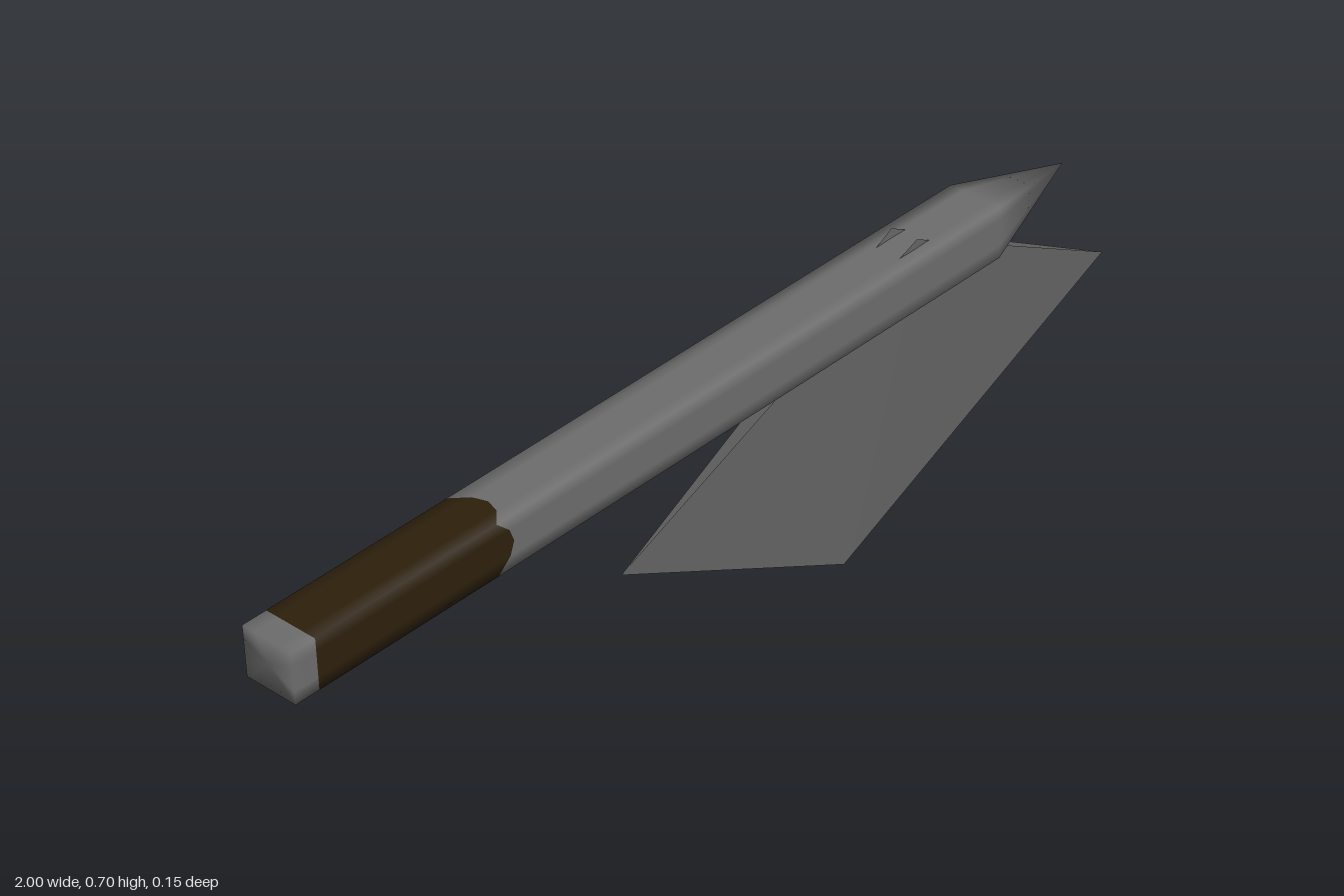
import * as THREE from 'three';

const steel = new THREE.MeshStandardMaterial({ name: 'steel grey', color: 0x6c6c6c, side: THREE.DoubleSide });
const leather = new THREE.MeshStandardMaterial({ name: 'dark brown grip', color: 0x2d200c });

function surface(points, index) {
  const geo = new THREE.BufferGeometry();
  geo.setAttribute('position', new THREE.Float32BufferAttribute(points.flat(), 3));
  geo.setIndex(index);
  geo.computeVertexNormals();
  return geo;
}

// Square shaft lofted through rings, with a wrapped grip and a pointed tip
function createShaft() {
  // Four steps along each side of the square, as [y, z] from -1 to 1
  const around = [];
  const corners = [[-1, 1], [1, 1], [1, -1], [-1, -1]];
  corners.forEach(([v, w], i) => {
    const [nv, nw] = corners[(i + 1) % 4];
    for (let s = 0; s < 4; s++) around.push([v + ((nv - v) * s) / 4, w + ((nw - w) * s) / 4]);
  });
  const n = around.length;

  // x, bulge at the middle of each side, bottom, top, back, front
  const rings = [
    [-1, 0, 0.58, 0.669, -0.03, 0.068],
    [-0.955, 0, 0.58, 0.669, -0.03, 0.068],
    [-0.602, 0.034, 0.58, 0.671, -0.03, 0.07],
    [0.565, 0, 0.583, 0.68, -0.03, 0.076],
  ];
  const points = [];
  for (const [x, bulge, y0, y1, z0, z1] of rings) {
    for (const [v, w] of around) {
      const along = Math.min(Math.abs(v), Math.abs(w)); // 0 mid-side, 1 at a corner
      points.push([
        x + bulge * (1 - along * along),
        (y0 + y1) / 2 + (v * (y1 - y0)) / 2,
        (z0 + z1) / 2 + (w * (z1 - z0)) / 2,
      ]);
    }
  }
  const butt = points.push([-1, 0.625, 0.019]) - 1;
  const tip = points.push([0.81, 0.634, 0.018]) - 1;

  const index = [];
  const marks = [];
  for (let j = 0; j < n; j++) index.push(butt, j, (j + 1) % n);
  for (let i = 0; i < rings.length - 1; i++) {
    marks.push(index.length);
    for (let j = 0; j < n; j++) {
      const a = i * n + j, b = i * n + ((j + 1) % n);
      index.push(a, a + n, b, a + n, b + n, b);
    }
  }
  const last = (rings.length - 1) * n;
  for (let j = 0; j < n; j++) index.push(last + j, tip, last + ((j + 1) % n));

  const geo = surface(points, index);
  geo.addGroup(0, marks[1], 0);
  geo.addGroup(marks[1], marks[2] - marks[1], 1);
  geo.addGroup(marks[2], index.length - marks[2], 0);
  const mesh = new THREE.Mesh(geo, [steel, leather]);
  mesh.name = 'shaftWithGrip';
  return mesh;
}

// Open diamond wedge: two folded sheets meeting at the lower edges
function createBlade() {
  const blade = new THREE.Group();
  blade.name = 'blade';
  const right = [-0.25, 0.344, -0.02];
  const left = [1, 0.358, -0.02];
  const bottom = [0.365, 0, -0.075];
  const sheets = [
    ['bladeFront', 0.056, [0, 1, 3, 0, 3, 2]],
    ['bladeBack', 0.004, [0, 3, 1, 0, 2, 3]],
  ];
  for (const [name, z, index] of sheets) {
    const mesh = new THREE.Mesh(surface([[0.37, 0.699, z], right, left, bottom], index), steel);
    mesh.name = name;
    blade.add(mesh);
  }
  return blade;
}

export function createModel() {
  const model = new THREE.Group();
  model.name = 'polearm';
  model.add(createShaft(), createBlade());
  return model;
}
